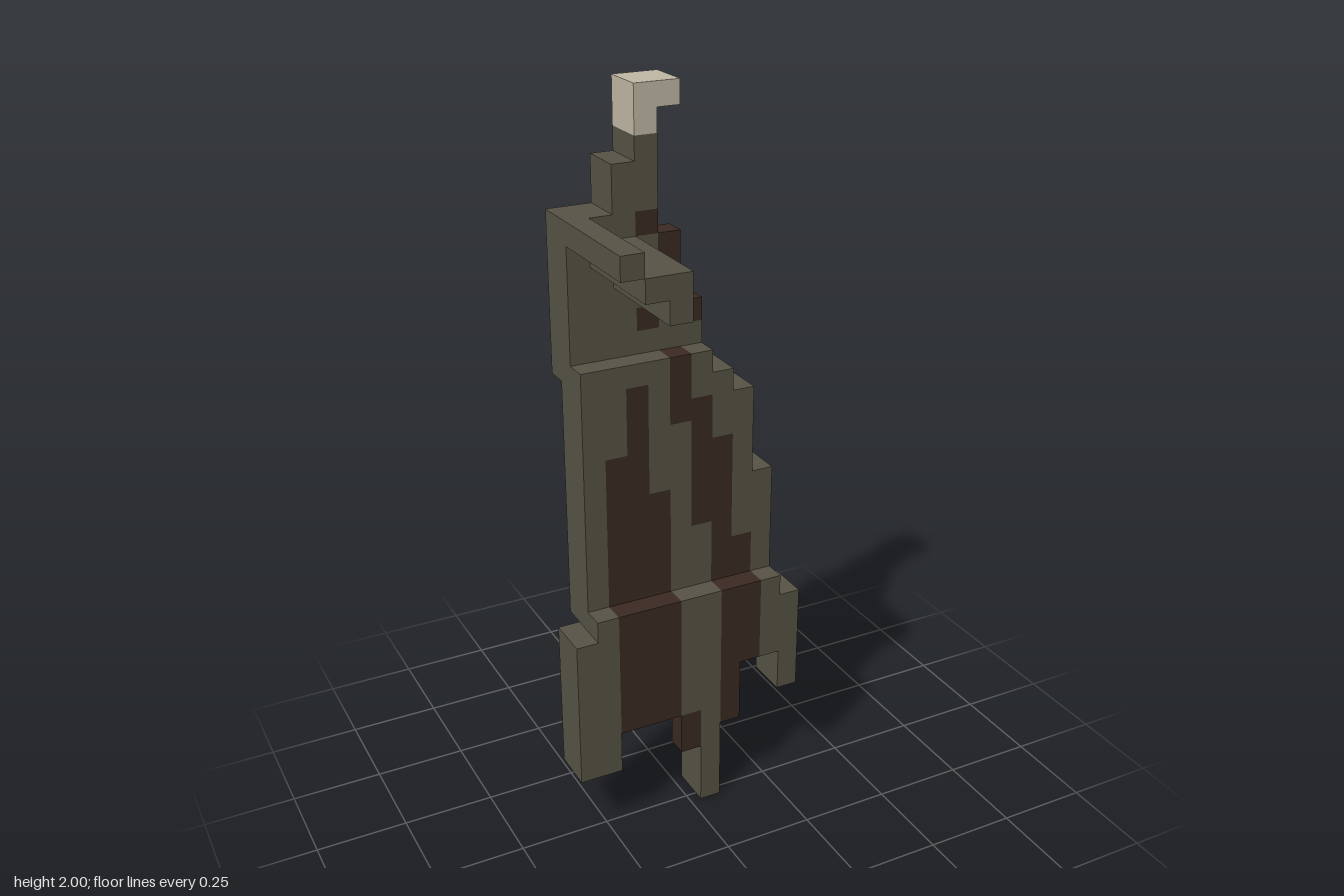
import * as THREE from 'three';
import { mergeGeometries } from 'three/addons/utils/BufferGeometryUtils.js';

// The model is built on a grid 11 wide, 33 high and 7 deep.
const U = 2 / 33;

const mat = (name, color) => {
  const m = new THREE.MeshStandardMaterial({ color });
  m.name = name;
  return m;
};

// Box covering grid cells from (x0, y0, z0) up to (x1, y1, z1).
function block(x0, x1, y0, y1, z0, z1) {
  const g = new THREE.BoxGeometry((x1 - x0) * U, (y1 - y0) * U, (z1 - z0) * U);
  g.translate(((x0 + x1) / 2 - 5.5) * U, ((y0 + y1) / 2) * U, ((z0 + z1) / 2 - 3.5) * U);
  return g;
}

// Each run is [first column, end column, bottom row, top row].
function part(name, runs, z0, z1, material) {
  const geo = mergeGeometries(runs.map(([a, b, lo, hi]) => block(a, b, lo, hi, z0, z1)));
  const mesh = new THREE.Mesh(geo, material);
  mesh.name = name;
  return mesh;
}

export function createModel() {
  const olive = mat('olive frame', 0x575345);
  const brown = mat('dark brown membrane', 0x3b2a22);
  const cream = mat('cream claw', 0xc1b9a5);
  const model = new THREE.Group();
  model.name = 'wing';

  model.add(
    // Lower tier: frame two cells deep, membrane only in its front layer
    part('lowerFrame', [
      [0, 1, 3, 10], [1, 2, 3, 11], [5, 6, 5, 11], [6, 7, 0, 11],
      [9, 10, 7, 11], [10, 11, 5, 10],
    ], 2, 4, olive),
    part('lowerMembrane', [
      [2, 5, 5, 11], [5, 6, 3, 5], [7, 8, 4, 11], [8, 9, 7, 11],
    ], 3, 4, brown),

    // Middle tier, one cell further back
    part('middleFrame', [
      [1, 2, 10, 22], [2, 3, 18, 22], [3, 4, 21, 22], [4, 5, 16, 22],
      [5, 6, 10, 19], [6, 7, 10, 14], [6, 7, 20, 22], [7, 8, 18, 21],
      [8, 9, 13, 20], [9, 10, 10, 16],
    ], 1, 3, olive),
    part('middleMembrane', [
      [2, 3, 10, 18], [3, 4, 10, 21], [4, 5, 10, 16], [5, 6, 19, 22],
      [6, 7, 14, 20], [7, 8, 10, 18], [8, 9, 10, 13],
    ], 2, 3, brown),

    // Upper tier with the wrist
    part('upperFrame', [
      [1, 3, 21, 28], [3, 4, 21, 30], [4, 5, 21, 23], [4, 5, 24, 27],
      [4, 5, 28, 31], [5, 6, 21, 25], [6, 7, 21, 23],
    ], 0, 2, olive),
    part('upperMembrane', [
      [4, 5, 23, 24], [4, 5, 27, 28], [5, 6, 25, 27], [6, 7, 23, 24],
    ], 1, 2, brown),
    part('claw', [[4, 5, 31, 33], [5, 6, 32, 33]], 0, 2, cream),

    // Stepped arm reaching forward
    part('arm', [[1, 2, 27, 28], [2, 3, 26, 27], [3, 4, 25, 27]], 2, 7, olive),
  );
  return model;
}
